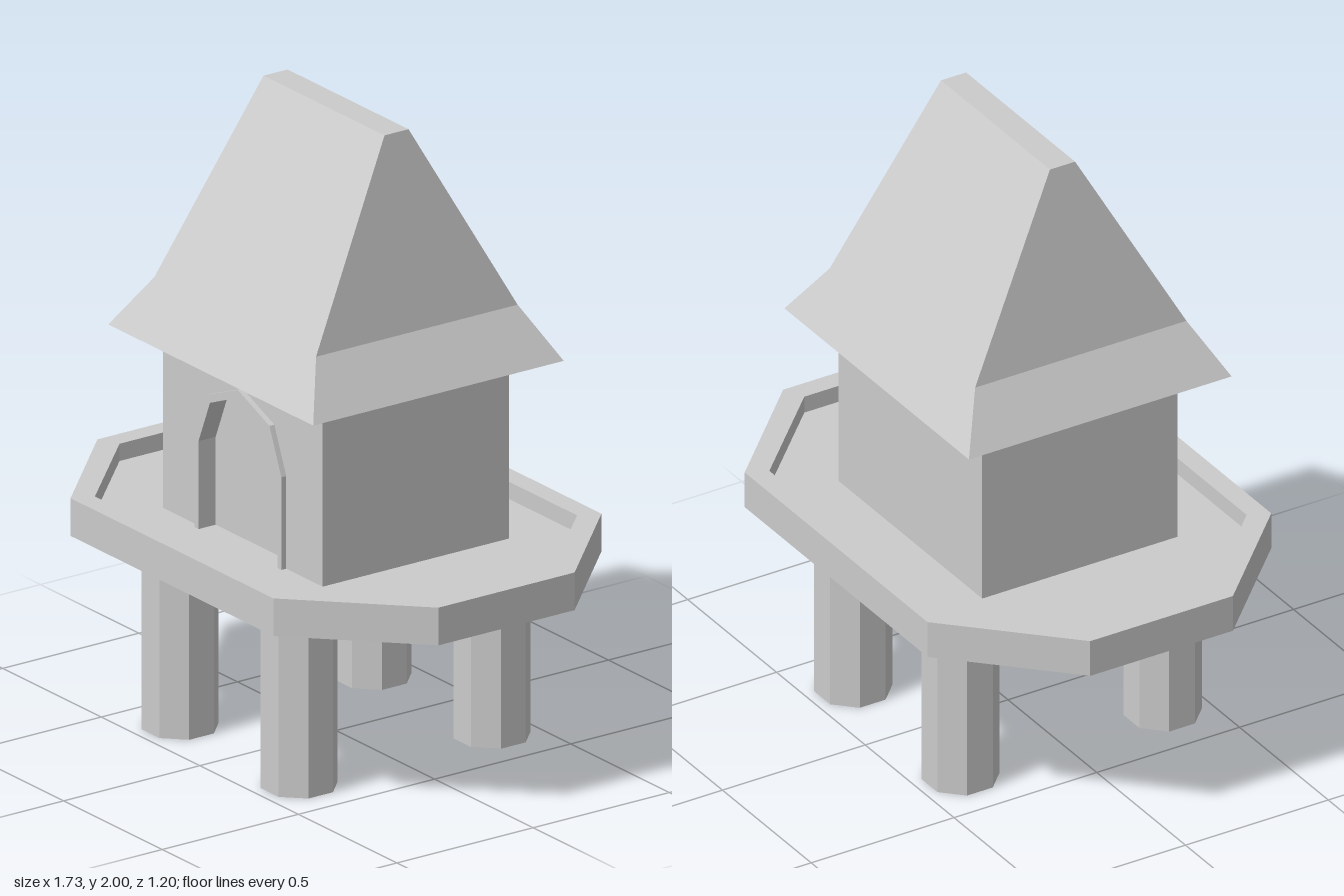
import * as THREE from 'three';

const material = new THREE.MeshStandardMaterial({ color: 0xcccccc, flatShading: true });

function part(name, geometry, x = 0, y = 0, z = 0) {
  const mesh = new THREE.Mesh(geometry, material);
  mesh.name = name;
  mesh.position.set(x, y, z);
  return mesh;
}

const points = (list) => list.map(([x, y]) => new THREE.Vector2(x, y));
const extrude = (shape, depth) => new THREE.ExtrudeGeometry(shape, { depth, bevelEnabled: false });

// Long octagon: half width, half depth, and where the cut corners begin
const octagon = (w, d, cw, cd) => points([
  [w, -cd], [w, cd], [cw, d], [-cw, d], [-w, cd], [-w, -cd], [-cw, -d], [cw, -d],
]);

// Faceted arch outline, from the right foot over the top to the left foot
const arch = (foot, w, spring, shoulderW, shoulder, top) => points([
  [w, foot], [w, spring], [shoulderW, shoulder], [0, top],
  [-shoulderW, shoulder], [-w, spring], [-w, foot],
]);

// Rectangular cross-sections [y, halfX, halfZ] joined into a closed solid
function loftRectangles(sections) {
  const ring = ([y, x, z]) => [[x, y, z], [x, y, -z], [-x, y, -z], [-x, y, z]];
  const positions = [];
  const quad = (a, b, c, d) => positions.push(...a, ...b, ...c, ...a, ...c, ...d);
  for (let i = 0; i < sections.length - 1; i++) {
    const low = ring(sections[i]), high = ring(sections[i + 1]);
    for (let k = 0; k < 4; k++) {
      const n = (k + 1) % 4;
      quad(low[k], low[n], high[n], high[k]);
    }
  }
  const bottom = ring(sections[0]), top = ring(sections[sections.length - 1]);
  quad(...bottom.reverse());
  quad(...top);
  const geometry = new THREE.BufferGeometry();
  geometry.setAttribute('position', new THREE.Float32BufferAttribute(positions, 3));
  geometry.computeVertexNormals();
  return geometry;
}

export function createModel() {
  const model = new THREE.Group();
  model.name = 'stiltHouse';
  const deckBottom = 0.595, floor = 0.66, deckTop = 0.715, eave = 1.235;
  const wallX = 0.405, wallZ = 0.342, doorZ = 0.297;

  // Four octagonal stilts with flat sides facing out
  for (const sx of [-1, 1]) {
    for (const sz of [-1, 1]) {
      const leg = new THREE.CylinderGeometry(0.118, 0.118, 0.6, 8);
      leg.rotateY(Math.PI / 8);
      model.add(part('leg', leg, sx * 0.302, 0.3, sz * 0.354));
    }
  }

  // Deck slab with a raised rim
  const outline = octagon(0.865, 0.602, 0.515, 0.25);
  const slab = extrude(new THREE.Shape(outline), floor - deckBottom).rotateX(-Math.PI / 2);
  model.add(part('deckFloor', slab, 0, deckBottom, 0));
  const rimShape = new THREE.Shape(outline);
  rimShape.holes.push(new THREE.Path(octagon(0.797, 0.535, 0.484, 0.218)));
  const rim = extrude(rimShape, deckTop - floor).rotateX(-Math.PI / 2);
  model.add(part('deckRim', rim, 0, floor, 0));

  // House body, its front face being the recessed door
  const bodyDepth = doorZ + wallZ;
  model.add(part('houseBody', new THREE.BoxGeometry(wallX * 2, eave - floor, bodyDepth),
    0, (eave + floor) / 2, doorZ - bodyDepth / 2));

  // Front wall with the doorway cut out
  const opening = arch(floor, 0.2, 0.94, 0.142, 1.08, 1.14);
  const wall = new THREE.Shape(points([
    [-wallX, floor], [-wallX, eave], [wallX, eave], [wallX, floor],
  ]).concat(opening));
  model.add(part('frontWall', extrude(wall, wallZ - doorZ), 0, 0, doorZ));

  // Door surround standing proud of the wall
  const surround = new THREE.Shape(
    arch(floor, 0.22, 0.955, 0.16, 1.1, 1.165).concat([...opening].reverse()));
  model.add(part('doorFrame', extrude(surround, 0.36 - wallZ), 0, 0, wallZ));

  // Roof with flared ends and a flat ridge
  model.add(part('roof', loftRectangles([
    [eave, 0.52, 0.46], [1.4, 0.41, 0.37], [2, 0.307, 0.044],
  ])));

  return model;
}
